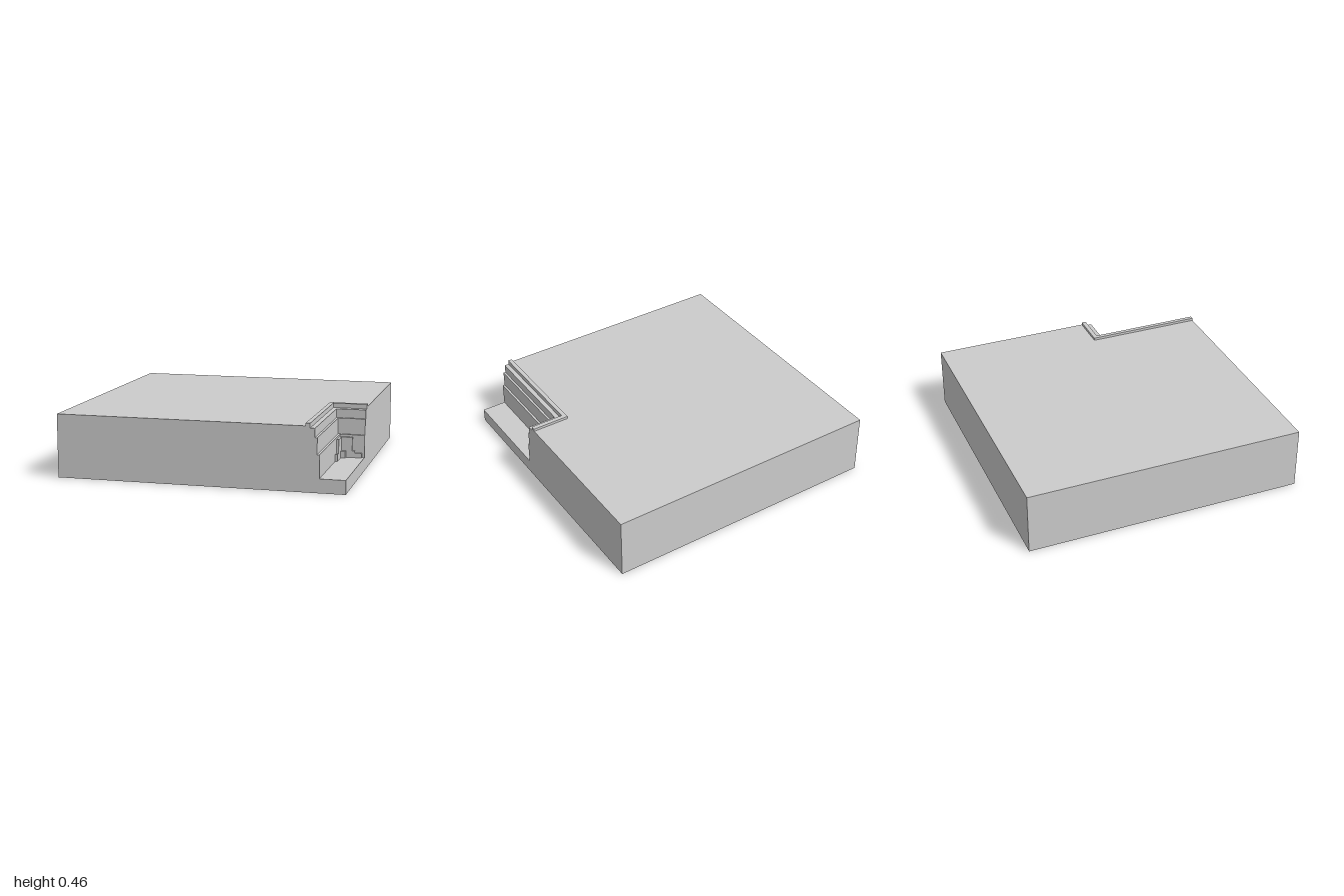
import * as THREE from 'three';

const TOP = 0.443, FLOOR = 0.096;

// Stepped moulding of the corner recess, from the rim inward and down: [x, z, y]
const STEPS = [
  [0.73, 0.158, TOP], [0.73, 0.158, 0.462],
  [0.76, 0.19, 0.462], [0.76, 0.19, 0.43],
  [0.792, 0.237, 0.43], [0.792, 0.237, 0.368],
  [0.808, 0.254, 0.368], [0.808, 0.254, 0.256],
  [0.824, 0.27, 0.256], [0.824, 0.27, FLOOR],
];
const [WALL_X, WALL_Z] = STEPS[STEPS.length - 1];

const shapeOf = (pts) => new THREE.Shape(pts.map(([a, b]) => new THREE.Vector2(a, b)));
const flat = (pts) => new THREE.ShapeGeometry(shapeOf(pts));
const rect = (x0, y0, x1, y1) => flat([[x0, y0], [x1, y0], [x1, y1], [x0, y1]]);

// Sweeps the moulding along the left wall, around the mitre and along the back wall
function mouldingGeometry() {
  const stations = [([x, , y]) => [x, y, 1], ([x, z, y]) => [x, y, z], ([, z, y]) => [1, y, z]];
  const pos = [];
  for (let s = 0; s < 2; s++) {
    for (let i = 0; i < STEPS.length - 1; i++) {
      const a = stations[s](STEPS[i]), b = stations[s + 1](STEPS[i]);
      const c = stations[s + 1](STEPS[i + 1]), d = stations[s](STEPS[i + 1]);
      pos.push(...a, ...d, ...c, ...a, ...c, ...b);
    }
  }
  const g = new THREE.BufferGeometry();
  g.setAttribute('position', new THREE.Float32BufferAttribute(pos, 3));
  g.computeVertexNormals();
  return g;
}

// Stepped flat panel, drawn as run along the wall against height
function panelGeometry(pts, depth) {
  return new THREE.ExtrudeGeometry(shapeOf(pts), { depth, bevelEnabled: false });
}

export function createModel() {
  const group = new THREE.Group();
  const material = new THREE.MeshStandardMaterial({ color: 0xcccccc });
  const add = (name, geometry) => {
    const mesh = new THREE.Mesh(geometry, material);
    mesh.name = name;
    group.add(mesh);
  };

  // Outer faces of the block; the front and right ends follow the moulding
  const frontEnd = [...STEPS].reverse().map(([x, , y]) => [x, y]);
  add('frontFace', flat([[-1, 0], [1, 0], [1, FLOOR], ...frontEnd, [-1, TOP]]).translate(0, 0, 1));
  const sideEnd = STEPS.map(([, z, y]) => [-z, y]);
  add('sideFace', flat([[-1, 0], [1, 0], [1, TOP], ...sideEnd, [-1, FLOOR]])
    .rotateY(Math.PI / 2).translate(1, 0, 0));
  add('backFace', rect(-1, 0, 1, TOP).rotateY(Math.PI).translate(0, 0, -1));
  add('farSideFace', rect(-1, 0, 1, TOP).rotateY(-Math.PI / 2).translate(-1, 0, 0));
  add('underside', rect(-1, -1, 1, 1).rotateX(Math.PI / 2));
  const [rimX, rimZ] = STEPS[0];
  add('topFace', flat([[-1, -1], [rimX, -1], [rimX, -rimZ], [1, -rimZ], [1, 1], [-1, 1]])
    .rotateX(-Math.PI / 2).translate(0, TOP, 0));

  // Corner recess
  add('recessMoulding', mouldingGeometry());
  add('recessFloor', rect(WALL_X, -1, 1, -WALL_Z).rotateX(-Math.PI / 2).translate(0, FLOOR, 0));

  // Stepped panels on the two recess walls and the block in their corner
  add('backWallPanel', panelGeometry([
    [WALL_X, FLOOR], [0.982, FLOOR], [0.982, 0.128], [0.935, 0.128],
    [0.935, 0.144], [0.916, 0.144], [0.916, 0.241], [WALL_X, 0.241],
  ], 0.016).translate(0, 0, WALL_Z));
  add('sideWallPanel', panelGeometry([
    [-0.44, FLOOR], [-WALL_Z, FLOOR], [-WALL_Z, 0.241],
    [-0.395, 0.241], [-0.395, 0.144], [-0.44, 0.144],
  ], 0.016).rotateY(Math.PI / 2).translate(WALL_X, 0, 0));
  const w = 0.048;
  add('cornerBlock', new THREE.BoxGeometry(w, w, w)
    .translate(WALL_X + w / 2, FLOOR + w / 2, WALL_Z + w / 2));

  return group;
}
